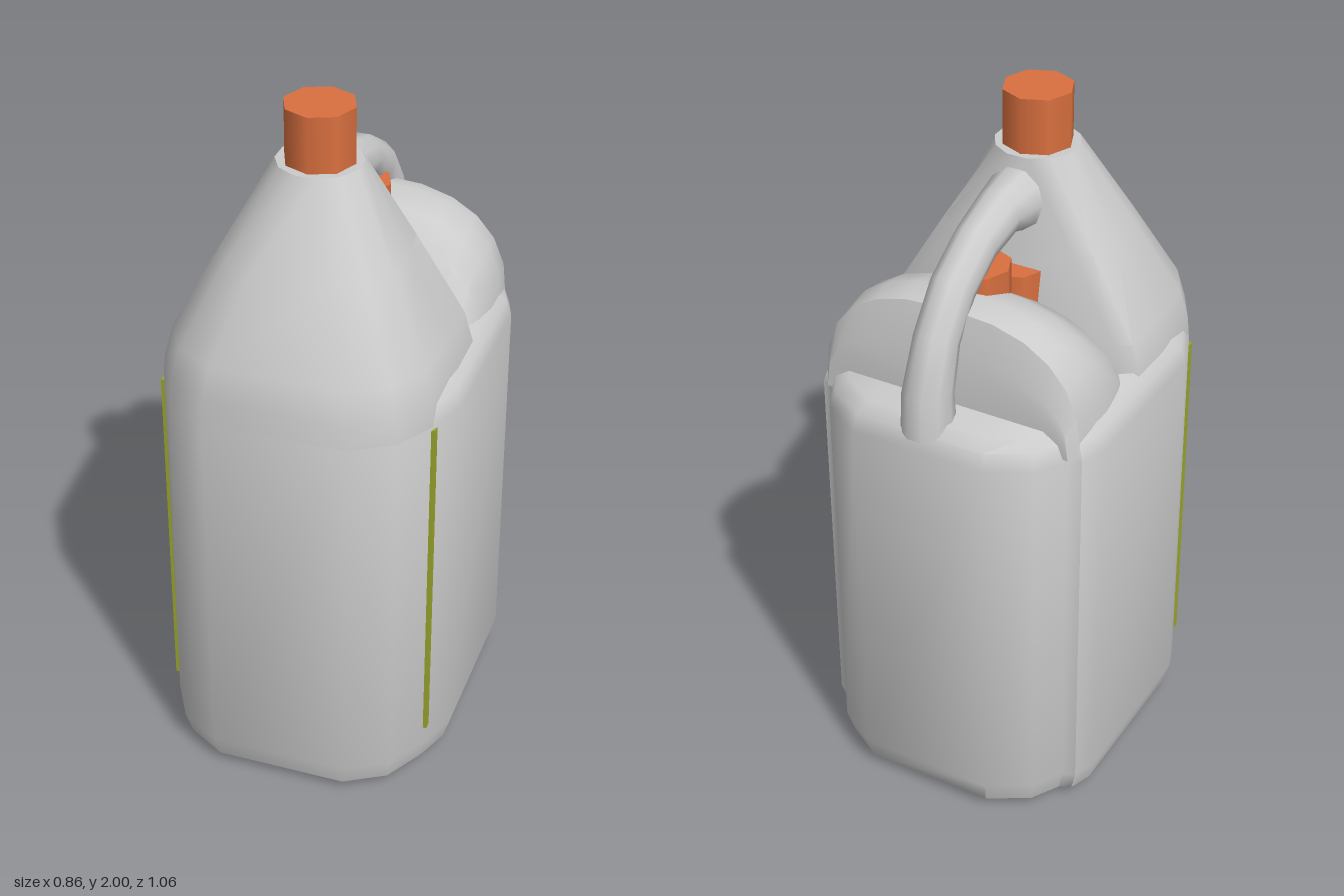
import * as THREE from 'three';
import { mergeVertices, toCreasedNormals } from 'three/addons/utils/BufferGeometryUtils.js';

const material = (color) => new THREE.MeshStandardMaterial({ color });
const plastic = material(0xcccccc);
const orange = material(0xd9703f);
const olive = material(0x9aa52c);

// Skin a row of equal-length rings of [x, y, z] and close both ends.
function loft(rings, crease = 0.75) {
  const n = rings[0].length;
  const points = rings.flat();
  const index = [];
  for (let i = 0; i < rings.length - 1; i++) {
    for (let j = 0; j < n; j++) {
      const a = i * n + j, b = i * n + (j + 1) % n;
      index.push(a, b, b + n, a, b + n, a + n);
    }
  }
  const last = (rings.length - 1) * n;
  for (let j = 1; j < n - 1; j++) {
    index.push(0, j + 1, j, last, last + j, last + j + 1);
  }
  const geometry = new THREE.BufferGeometry();
  geometry.setAttribute('position', new THREE.Float32BufferAttribute(points.flat(), 3));
  geometry.setIndex(index);
  return toCreasedNormals(mergeVertices(geometry), crease);
}

// Mirror a half outline of [x, z] into a full one.
const mirrored = (half) => [...half, ...half.map(([x, z]) => [-x, z]).reverse()];

export function createModel() {
  const model = new THREE.Group();
  const add = (name, geometry, mat = plastic, x = 0, y = 0, z = 0) => {
    const mesh = new THREE.Mesh(geometry, mat);
    mesh.name = name;
    mesh.position.set(x, y, z);
    model.add(mesh);
    return mesh;
  };

  // Lower body: raised side panels, stepped back column, recessed underside
  const outline = mirrored([
    [0.2, 0.53], [0.32, 0.46], [0.385, 0.345], [0.4, 0.31], [0.43, 0.23],
    [0.43, -0.28], [0.405, -0.35], [0.37, -0.365], [0.32, -0.45], [0.2, -0.52],
  ]);
  const bodyRing = ([y, inset]) => outline.map(([x, z]) =>
    [x * (1 - inset / 0.43), y, z * (1 - inset / 0.53)]);
  add('body', loft([
    [0.04, 0.17], [0.005, 0.12], [0, 0.07], [0.03, 0.02], [0.1, 0],
    [1.21, 0], [1.26, 0.015], [1.29, 0.05],
  ].map(bodyRing)));

  // Octagonal pad in the underside
  const pad = add('basePad', new THREE.CylinderGeometry(0.24, 0.2, 0.03, 8), plastic, 0, 0.03, 0);
  pad.scale.z = 1.15;

  // Front spout: blends from the shoulder outline to a round neck
  const base = mirrored([
    [0.2, 0.53], [0.32, 0.46], [0.385, 0.345], [0.4, 0.15], [0.4, 0], [0.36, -0.03],
  ]);
  const spoutRing = ([y, t]) => base.map(([x, z], i) => {
    const a = (i + 0.5) * Math.PI / 6;
    return [
      THREE.MathUtils.lerp(x, 0.12 * Math.sin(a), t), y,
      THREE.MathUtils.lerp(z, 0.14 + 0.12 * Math.cos(a), t),
    ];
  });
  add('spout', loft([[1.21, 0], [1.28, 0.02], [1.37, 0.1], [1.6, 0.53], [1.84, 1]].map(spoutRing)));

  // Rear chamber: arched hump lofted from the valley to the back wall
  const archRing = ([z, top, w]) => Array.from({ length: 13 }, (_, i) => {
    const c = Math.cos(i * Math.PI / 12), s = Math.max(0, Math.sin(i * Math.PI / 12));
    return [
      -w * Math.sign(c) * Math.abs(c) ** 0.8,
      1.22 + (top - 1.22) * s ** 0.8, z,
    ];
  });
  add('rearChamber', loft([
    [-0.01, 1.36, 0.36], [-0.06, 1.41, 0.38], [-0.1, 1.5, 0.39], [-0.19, 1.56, 0.4],
    [-0.275, 1.58, 0.4], [-0.345, 1.56, 0.395], [-0.375, 1.45, 0.375],
  ].map(archRing)));

  // Handle: stations of height, depth and radius
  const stations = [
    [1.71, 0.05, 0.1], [1.72, 0, 0.088], [1.72, -0.08, 0.072], [1.685, -0.2, 0.066],
    [1.61, -0.32, 0.066], [1.5, -0.405, 0.066], [1.36, -0.455, 0.073], [1.25, -0.455, 0.078],
  ];
  add('handle', loft(stations.map(([y, z, r], i) => {
    const p = stations[Math.max(i - 1, 0)], q = stations[Math.min(i + 1, stations.length - 1)];
    const length = Math.hypot(q[0] - p[0], q[1] - p[1]);
    const ty = (q[0] - p[0]) / length, tz = (q[1] - p[1]) / length;
    return Array.from({ length: 10 }, (_, j) => {
      const a = j * Math.PI / 5, v = r * Math.sin(a);
      return [r * 0.95 * Math.cos(a), y + v * tz, z - v * ty];
    });
  }), 1));

  // Pouring, filling and measuring caps
  add('mainCap', new THREE.CylinderGeometry(0.1, 0.1, 0.16, 8), orange, 0, 1.92, 0.14);
  add('rearCap', new THREE.CylinderGeometry(0.092, 0.092, 0.1, 8), orange, 0, 1.57, -0.188);
  add('innerNeck', new THREE.CylinderGeometry(0.125, 0.15, 0.12, 10), plastic, 0, 1.36, 0.01);
  add('innerCap', new THREE.CylinderGeometry(0.1, 0.1, 0.11, 8), orange, 0, 1.475, 0.01);

  // Level strips in the side grooves
  for (const side of [1, -1]) {
    add(side > 0 ? 'leftLevelStrip' : 'rightLevelStrip',
      new THREE.BoxGeometry(0.02, 1.04, 0.027), olive, side * 0.383, 0.68, 0.336);
  }

  return model;
}
